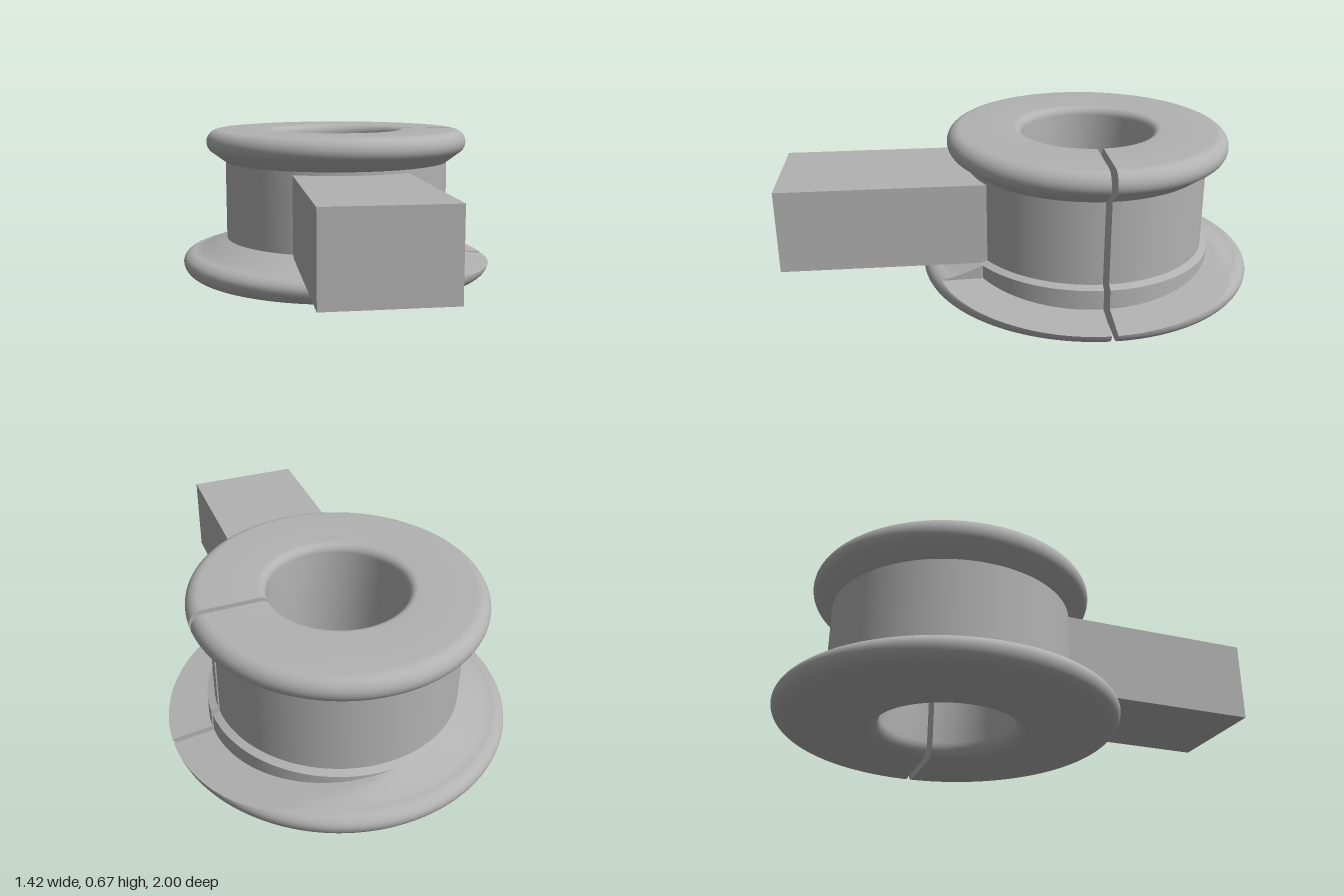
import * as THREE from 'three';
import { toCreasedNormals } from 'three/addons/utils/BufferGeometryUtils.js';

const SLOT = 0.0125;    // half width of the slit
const STEP_X = 0.27;    // front end of the relieved rim
const WALL_R = 0.54;    // inner wall of the relieved rim

// Points on an elliptical arc, angles in degrees
function arc(cx, cy, rx, ry, from, to, n = 10) {
  return Array.from({ length: n + 1 }, (_, i) => {
    const a = THREE.MathUtils.degToRad(from + (to - from) * i / n);
    return [cx + rx * Math.cos(a), cy + ry * Math.sin(a)];
  });
}

// Closed cross-section [radius, height], from the bore over the top and round the outside
const profile = [
  ...arc(0.315, 0.63, 0.035, 0.035, 180, 90, 8),
  ...arc(0.54, 0.61, 0.055, 0.055, 90, -42, 14),
  [0.51, 0.52], [0.51, 0.17], [WALL_R, 0.158], [WALL_R + 0.0002, 0.158],
  [0.565, 0.147], [0.59, 0.136], [0.62, 0.123],
  ...arc(0.65, 0.065, 0.06, 0.046, 90, 0, 14),
  ...arc(0.63, 0.065, 0.08, 0.065, -6, -90, 12),
  ...arc(0.345, 0.065, 0.065, 0.065, -90, -180, 8),
];
profile.push(profile[0]);

// Sloping floor of the relieved rim
const floorHeight = (x, z) => 0.144 - 0.125 * x - 0.02 * z;

function ringPoint([r, y], phi, relieved) {
  const x = r * Math.cos(phi), z = r * Math.sin(phi);
  const cut = relieved && r > WALL_R + 0.0001 && y < 0.3;
  return new THREE.Vector3(x, cut ? Math.min(y, floorHeight(x, z)) : y, z);
}

// Surface swept around the axis from one side of the slit to the other
function spoolGeometry() {
  const columns = [];
  const slotAngle = (r) => Math.asin(SLOT / r);
  const stepAngle = (r) => Math.acos(STEP_X / Math.max(r, WALL_R));
  const sweep = (n, start, end, relieved) => {
    for (let j = 0; j <= n; j++) {
      columns.push(profile.map((p) => {
        const phi = THREE.MathUtils.lerp(start(p[0]), end(p[0]), j / n);
        return ringPoint(p, phi, relieved(phi));
      }));
    }
  };
  sweep(32, slotAngle, stepAngle, () => true);
  sweep(150, stepAngle, (r) => 2 * Math.PI - slotAngle(r), (phi) => phi > Math.PI);

  const n = profile.length, index = [];
  for (let j = 0; j < columns.length - 1; j++) {
    for (let i = 0; i < n - 1; i++) {
      const a = j * n + i, b = a + n;
      index.push(a, b, a + 1, b, b + 1, a + 1);
    }
  }
  const geometry = new THREE.BufferGeometry().setFromPoints(columns.flat());
  geometry.setIndex(index);
  // Enlarged while creasing so that close vertices stay apart
  geometry.scale(100, 100, 100);
  const creased = toCreasedNormals(geometry, 0.36);
  creased.scale(0.01, 0.01, 0.01);
  return creased;
}

// Flat face closing the cross-section on one side of the slit
function slotFace(side) {
  const outline = profile.slice(0, -1).map((p) => {
    const v = ringPoint(p, side * Math.asin(SLOT / p[0]), true);
    return new THREE.Vector2(v.x, v.y);
  });
  const geometry = new THREE.ShapeGeometry(new THREE.Shape(outline));
  geometry.translate(0, 0, side * SLOT);
  return geometry;
}

export function createModel() {
  const grey = new THREE.MeshStandardMaterial({ color: 0xb2b2b2, side: THREE.DoubleSide });
  grey.name = 'grey';
  const model = new THREE.Group();
  model.name = 'slottedSpool';
  const add = (parent, name, geometry) => {
    const mesh = new THREE.Mesh(geometry, grey);
    mesh.name = name;
    parent.add(mesh);
    return mesh;
  };

  // Flanged spool with bore and slit
  const spool = new THREE.Group();
  spool.name = 'spool';
  spool.position.z = -0.29;
  add(spool, 'flangedBody', spoolGeometry());
  add(spool, 'frontSlotFace', slotFace(1));
  add(spool, 'backSlotFace', slotFace(-1));
  model.add(spool);

  // Square handle running into the hub
  add(model, 'handle', new THREE.BoxGeometry(0.49, 0.345, 0.85)).position.set(0, 0.3325, 0.575);
  return model;
}
